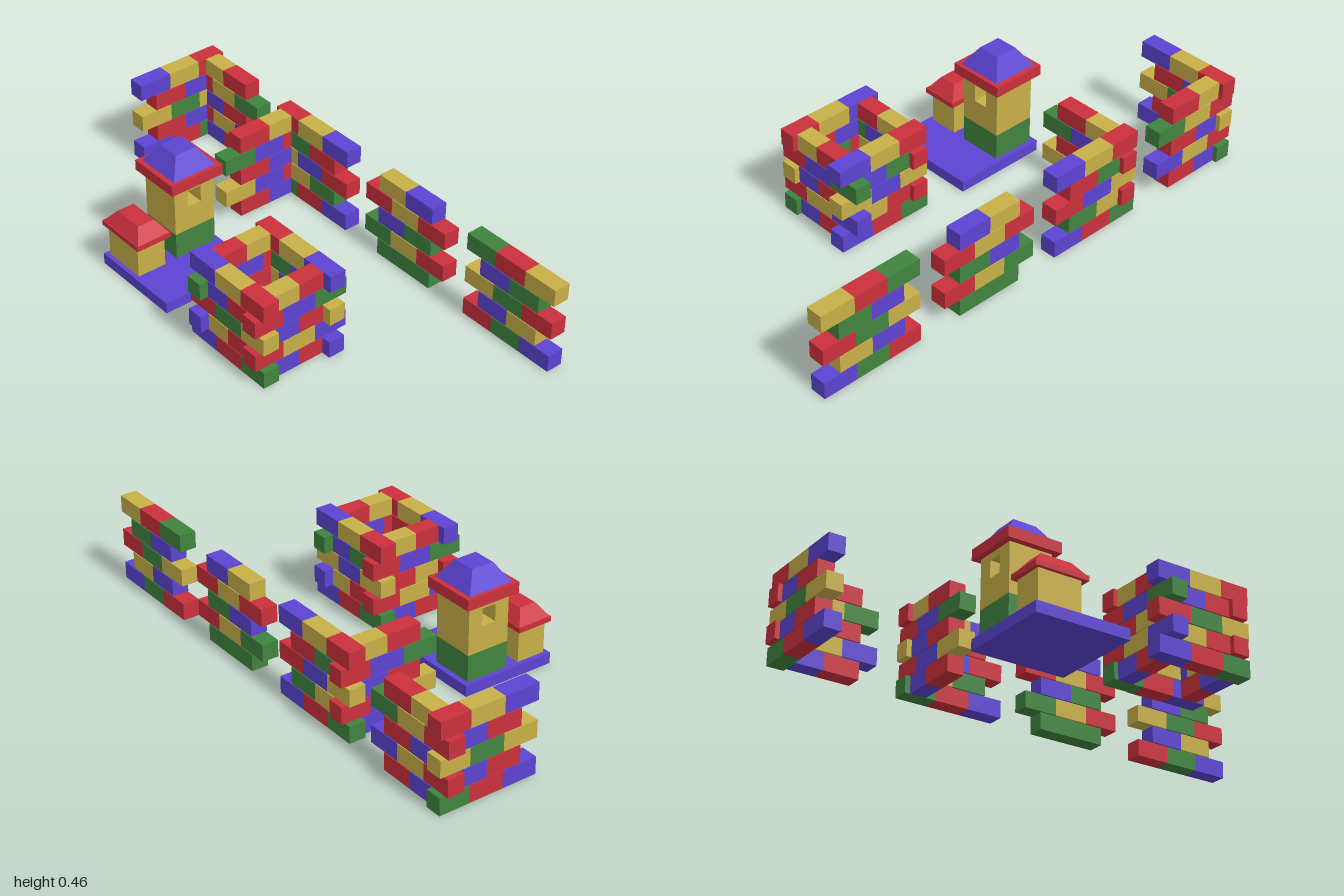
import * as THREE from 'three';

const COLORS = { R: 0xcb303c, Y: 0xc8b048, G: 0x40843f, B: 0x5c44d2 };
const MATS = {};
for (const k in COLORS) MATS[k] = new THREE.MeshStandardMaterial({ color: COLORS[k] });

const PITCH = 0.0715, HEIGHT = 0.068, WIDTH = 0.067;

// Box given by its lower and upper corners
function block(group, name, code, [x0, y0, z0], [x1, y1, z1]) {
  const mesh = new THREE.Mesh(new THREE.BoxGeometry(x1 - x0, y1 - y0, z1 - z0), MATS[code]);
  mesh.position.set((x0 + x1) / 2, (y0 + y1) / 2, (z0 + z1) / 2);
  mesh.name = name;
  group.add(mesh);
  return mesh;
}

// Box whose top face is scaled inwards
function hipRoof(group, name, code, lo, hi, sx, sz) {
  const mesh = block(group, name, code, lo, hi);
  const geo = mesh.geometry.toNonIndexed();
  const p = geo.attributes.position;
  for (let i = 0; i < p.count; i++) {
    if (p.getY(i) > 0) p.setXYZ(i, p.getX(i) * sx, p.getY(i), p.getZ(i) * sz);
  }
  geo.computeVertexNormals();
  mesh.geometry = geo;
}

// One course of bricks along an axis; edges are the joints between bricks
function course(group, axis, centre, level, edges, codes) {
  const y = level * PITCH, a = centre - WIDTH / 2, b = centre + WIDTH / 2;
  [...codes].forEach((code, i) => {
    const s = edges[i], e = edges[i + 1];
    if (axis === 'x') block(group, 'brick', code, [s, y, a], [e, y + HEIGHT, b]);
    else block(group, 'brick', code, [a, y, s], [b, y + HEIGHT, e]);
  });
}

// Running bond wall: even and odd courses use different joints
function wall(group, axis, centre, evenEdges, oddEdges, rows) {
  rows.forEach((codes, i) => course(group, axis, centre, i, i % 2 ? oddEdges : evenEdges, codes));
}

function named(parent, name) {
  const g = new THREE.Group();
  g.name = name;
  parent.add(g);
  return g;
}

export function createModel() {
  const model = new THREE.Group();
  const X = 0.413;

  // Straight walls, bricks listed from low z to high z, bottom course first
  wall(named(model, 'frontWall'), 'z', X, [0.577, 0.718, 0.859, 1], [0.648, 0.789, 0.93],
    ['RGB', 'BY', 'YGR', 'BG', 'GRY']);
  wall(named(model, 'middleWall'), 'z', X, [0.117, 0.257, 0.397], [0.047, 0.187, 0.327, 0.467],
    ['GG', 'GYR', 'BG', 'RYR', 'YB']);

  // Corner wall: arms interlock at the corner
  const corner = named(model, 'cornerWall');
  wall(corner, 'z', X, [-0.473, -0.345, -0.204, -0.063], [-0.386, -0.274, -0.133],
    ['GRB', 'YG', 'YBR', 'GR', 'RYB']);
  wall(corner, 'x', -0.419, [0.132, 0.273, 0.3795], [0.062, 0.203, 0.343, 0.465],
    ['RB', 'YBR', 'RB', 'GBR', 'RY']);

  // Rear corner wall
  const rear = named(model, 'rearCornerWall');
  wall(rear, 'z', X, [-0.915, -0.805, -0.664], [-1, -0.875, -0.735, -0.594],
    ['BR', 'RYB', 'BR', 'RYG', 'YR']);
  wall(rear, 'x', -0.9485, [0.062, 0.203, 0.343, 0.465], [0.132, 0.273, 0.3795],
    ['BRG', 'RB', 'YGY', 'RB', 'BYR']);

  // Square enclosure of four interlocking walls
  const pen = named(model, 'squareEnclosure');
  const inX = [-0.366, -0.26, -0.154], inZ = [0.145, 0.253, 0.361];
  wall(pen, 'x', 0.395, inX, [-0.453, -0.329, -0.189, -0.049],
    ['BR', 'RYB', 'BR', 'RBG', 'YR']);
  wall(pen, 'x', 0.111, inX, [-0.468, -0.328, -0.188, -0.066],
    ['RB', 'BYR', 'YR', 'GBR', 'RY']);
  wall(pen, 'z', -0.3995, [0.046, 0.186, 0.327, 0.449], inZ,
    ['BRG', 'YR', 'RGY', 'BR', 'BYR']);
  wall(pen, 'z', -0.1205, [0.06, 0.19, 0.326, 0.466], inZ,
    ['GRB', 'RY', 'YBY', 'GB', 'RYB']);

  // Tower on a slab
  const tower = named(model, 'tower');
  block(tower, 'baseSlab', 'B', [-0.444, 0, -0.476], [-0.056, 0.044, -0.09]);
  block(tower, 'lowerStorey', 'G', [-0.254, 0.044, -0.457], [-0.077, 0.15, -0.281]);

  // Upper storey with a window opening running front to back
  const shape = new THREE.Shape();
  shape.moveTo(-0.254, 0.15).lineTo(-0.077, 0.15).lineTo(-0.077, 0.346).lineTo(-0.254, 0.346).closePath();
  const hole = new THREE.Path();
  hole.moveTo(-0.195, 0.25).lineTo(-0.195, 0.32).lineTo(-0.136, 0.32).lineTo(-0.136, 0.25).closePath();
  shape.holes.push(hole);
  const upper = new THREE.Mesh(
    new THREE.ExtrudeGeometry(shape, { depth: 0.176, bevelEnabled: false }), MATS.Y);
  upper.position.z = -0.457;
  upper.name = 'upperStorey';
  tower.add(upper);

  block(tower, 'towerEave', 'R', [-0.28, 0.346, -0.48], [-0.052, 0.389, -0.257]);
  hipRoof(tower, 'towerRoof', 'B', [-0.26, 0.389, -0.464], [-0.072, 0.461, -0.273], 0.49, 0.49);

  // Small annex beside the tower
  const annex = named(model, 'annex');
  block(annex, 'annexBody', 'Y', [-0.427, 0.044, -0.458], [-0.307, 0.175, -0.28]);
  block(annex, 'annexEave', 'R', [-0.441, 0.175, -0.476], [-0.293, 0.195, -0.258]);
  hipRoof(annex, 'annexRoof', 'R', [-0.437, 0.195, -0.472], [-0.297, 0.245, -0.262], 0.5, 0.6);

  return model;
}
